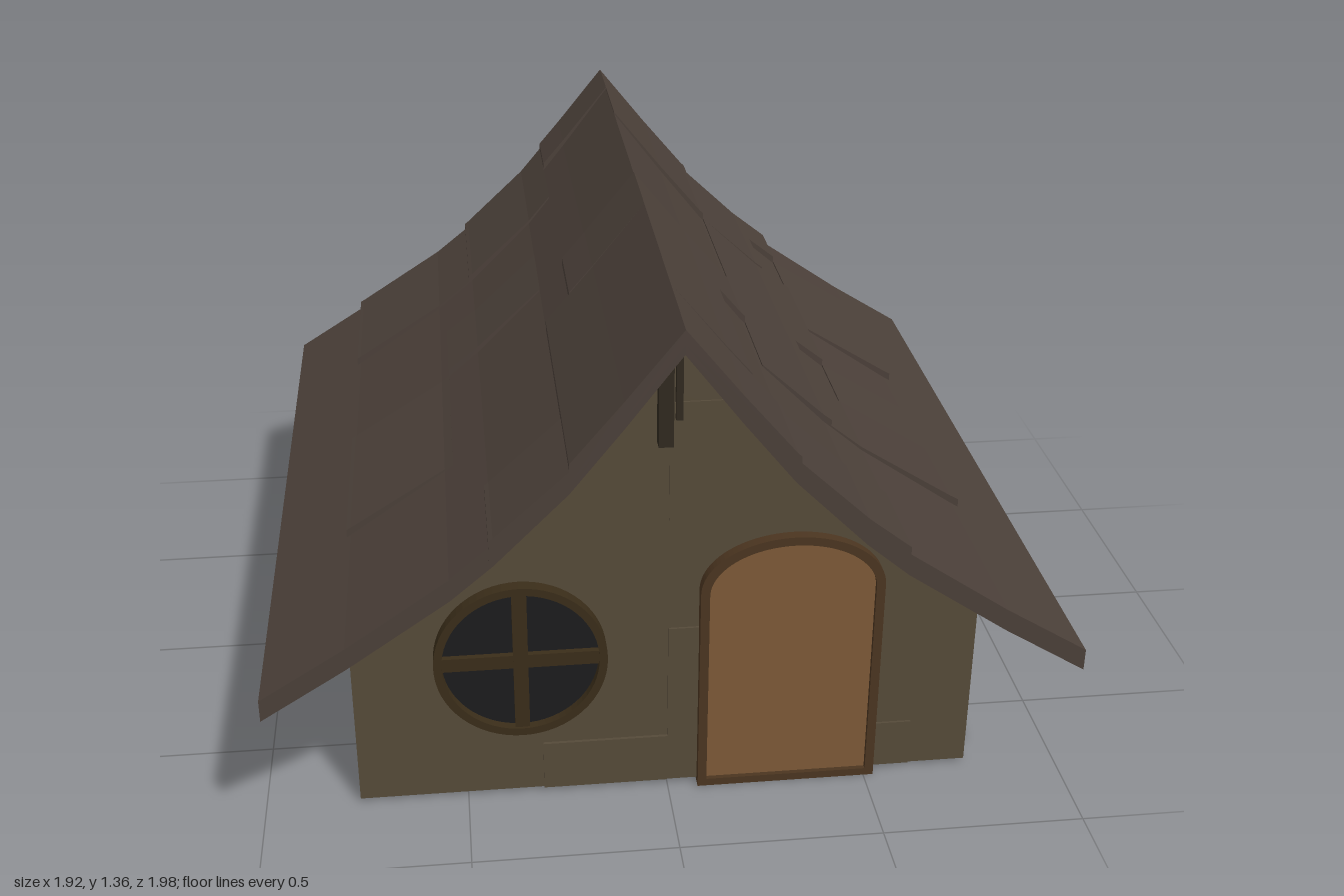
import * as THREE from 'three';

const mat = (color) => new THREE.MeshStandardMaterial({ color, flatShading: true });

// Curved roof slope: [distance from ridge, height]
const SLOPE = [[0, 1.35], [0.13, 1.18], [0.25, 1.03], [0.42, 0.86], [0.52, 0.775], [0.76, 0.61], [0.96, 0.485]];

function roofY(x) {
  const i = Math.max(1, SLOPE.findIndex((p) => p[0] >= x));
  const [a, b] = [SLOPE[i - 1], SLOPE[i]];
  return a[1] + (b[1] - a[1]) * (x - a[0]) / (b[0] - a[0]);
}

const shapeOf = (pts) => new THREE.Shape(pts.map(([x, y]) => new THREE.Vector2(x, y)));

function prism(group, name, shape, z0, z1, material, curveSegments = 24) {
  const geo = new THREE.ExtrudeGeometry(shape, { depth: z1 - z0, bevelEnabled: false, curveSegments });
  geo.translate(0, 0, z0);
  const mesh = new THREE.Mesh(geo, material);
  mesh.name = name;
  group.add(mesh);
  return mesh;
}

function box(group, name, x0, x1, y0, y1, z0, z1, material) {
  const mesh = new THREE.Mesh(new THREE.BoxGeometry(x1 - x0, y1 - y0, z1 - z0), material);
  mesh.position.set((x0 + x1) / 2, (y0 + y1) / 2, (z0 + z1) / 2);
  mesh.name = name;
  group.add(mesh);
}

// Door outline with a low elliptical arch
function archShape(cx, halfWidth, y0, spring, top) {
  const s = new THREE.Shape();
  s.moveTo(cx - halfWidth, y0);
  s.lineTo(cx + halfWidth, y0);
  s.lineTo(cx + halfWidth, spring);
  s.absellipse(cx, spring, halfWidth, top - spring, 0, Math.PI, false, 0);
  s.closePath();
  return s;
}

// Slab lying on one slope, thicker at its lower edge
function shingle(group, side, x0, x1, z0, z1, material) {
  const xs = [x0, ...SLOPE.map((p) => p[0]).filter((x) => x > x0 && x < x1), x1];
  const upper = xs.map((x) => [side * x, roofY(x) + 0.005 + 0.016 * (x - x0) / (x1 - x0)]);
  const lower = xs.map((x) => [side * x, roofY(x) - 0.03]).reverse();
  prism(group, 'shingle', shapeOf([...upper, ...lower]), z0, z1, material);
}

export function createModel() {
  const model = new THREE.Group();
  const roofMat = mat(0x4b4039), wallMat = mat(0x554a39), doorMat = mat(0x7d5937);
  const trimMat = mat(0x4b3520), paneMat = mat(0x1c1c1d), barMat = mat(0x3a2d19), beamMat = mat(0x30291f);

  // House body with gables reaching up under the roof
  const gable = SLOPE.filter((p) => p[0] < 0.76).concat([[0.768, 0.605]]).map(([x, y]) => [x, y - 0.03]);
  const body = [[-0.768, 0.01], [0.768, 0.01], ...[...gable].reverse(), ...gable.slice(1).map(([x, y]) => [-x, y])];
  prism(model, 'walls', shapeOf(body), -0.795, 0.742, wallMat);

  // Raised plaster panels on the walls
  const panels = new THREE.Group();
  panels.name = 'wallPanels';
  model.add(panels);
  box(panels, 'frontPanel', -0.31, 0, 0.012, 0.145, 0.73, 0.75, wallMat);
  box(panels, 'frontPanel', 0, 0.1, 0.012, 0.46, 0.73, 0.748, wallMat);
  box(panels, 'frontPanel', 0.52, 0.62, 0.012, 0.14, 0.73, 0.748, wallMat);
  prism(panels, 'gablePanel', shapeOf([[0, 0.76], [0.46, 0.76], [0.18, 1.07], [0, 1.07]]), 0.73, 0.747, wallMat);
  prism(panels, 'backPanel', shapeOf([[-0.25, 0.55], [0.05, 0.5], [0.2, 0.72], [0, 0.8], [-0.25, 0.8]]), -0.802, -0.78, wallMat);
  box(panels, 'backPanel', -0.6, 0.45, 0.012, 0.14, -0.801, -0.78, wallMat);
  for (const s of [-1, 1]) {
    const [a, b] = s > 0 ? [0.75, 0.774] : [-0.774, -0.75];
    box(panels, 'sidePanel', a, b, 0.3, 0.44, -0.33, -0.19, wallMat);
    box(panels, 'sidePanel', a, b, 0.012, 0.15, -0.79, -0.34, wallMat);
    box(panels, 'sidePanel', a, b, 0.012, 0.15, 0.2, 0.6, wallMat);
  }

  // Small post under the front peak
  box(model, 'gablePost', -0.03, 0.005, 0.97, 1.28, 0.72, 0.775, beamMat);
  box(model, 'gablePost', 0.012, 0.028, 1.03, 1.25, 0.72, 0.76, beamMat);

  // Roof shell
  const outer = [...[...SLOPE].reverse().map(([x, y]) => [-x, y]), ...SLOPE.slice(1)];
  const inner = outer.map(([x, y]) => [x, y - 0.055]).reverse();
  prism(model, 'roof', shapeOf([...outer, ...inner]), -0.98, 0.98, roofMat);

  // Shingles: [side, from ridge, to, back z, front z]
  const shingles = new THREE.Group();
  shingles.name = 'shingles';
  model.add(shingles);
  [
    [1, 0, 0.26, -0.985, -0.55], [1, 0, 0.26, -0.03, 0.21], [1, 0, 0.19, 0.21, 0.73], [1, 0, 0.26, 0.73, 0.985],
    [1, 0.26, 0.44, -0.8, -0.55], [1, 0.26, 0.52, -0.55, -0.03], [1, 0.26, 0.44, -0.03, 0.47],
    [1, 0.26, 0.52, 0.73, 0.985], [1, 0.26, 0.52, -0.99, -0.8],
    [1, 0.52, 0.78, -0.8, -0.29], [1, 0.52, 0.78, -0.03, 0.21], [1, 0.44, 0.78, 0.21, 0.47],
    [-1, 0, 0.19, -0.99, -0.8], [-1, 0, 0.19, -0.03, 0.21], [-1, 0, 0.25, 0.21, 0.73], [-1, 0, 0.25, 0.73, 0.985],
    [-1, 0.19, 0.43, -0.99, -0.55], [-1, 0.25, 0.5, -0.29, -0.04], [-1, 0.25, 0.43, 0.73, 0.99],
    [-1, 0.43, 0.77, -0.8, -0.55], [-1, 0.43, 0.77, -0.985, -0.8], [-1, 0.5, 0.77, -0.03, 0.21], [-1, 0.5, 0.77, 0.21, 0.47],
  ].forEach((p) => shingle(shingles, ...p, roofMat));

  // Arched door and its frame
  const frame = archShape(0.3, 0.225, 0, 0.565, 0.71);
  frame.holes.push(archShape(0.3, 0.203, 0.02, 0.56, 0.688));
  prism(model, 'doorFrame', frame, 0.72, 0.77, trimMat);
  prism(model, 'door', archShape(0.3, 0.21, 0.01, 0.56, 0.695), 0.72, 0.758, doorMat);

  // Round window with cross bars
  const win = new THREE.Group();
  win.name = 'window';
  win.position.set(-0.36, 0.405, 0);
  model.add(win);
  const ring = new THREE.Shape().absarc(0, 0, 0.21, 0, Math.PI * 2);
  ring.holes.push(new THREE.Path().absarc(0, 0, 0.19, 0, Math.PI * 2));
  prism(win, 'windowFrame', ring, 0.72, 0.775, barMat, 32);
  prism(win, 'windowPane', new THREE.Shape().absarc(0, 0, 0.2, 0, Math.PI * 2), 0.72, 0.752, paneMat, 32);
  box(win, 'windowBar', -0.195, 0.195, -0.018, 0.018, 0.73, 0.767, barMat);
  box(win, 'windowBar', -0.018, 0.018, -0.195, 0.195, 0.73, 0.768, barMat);

  return model;
}
